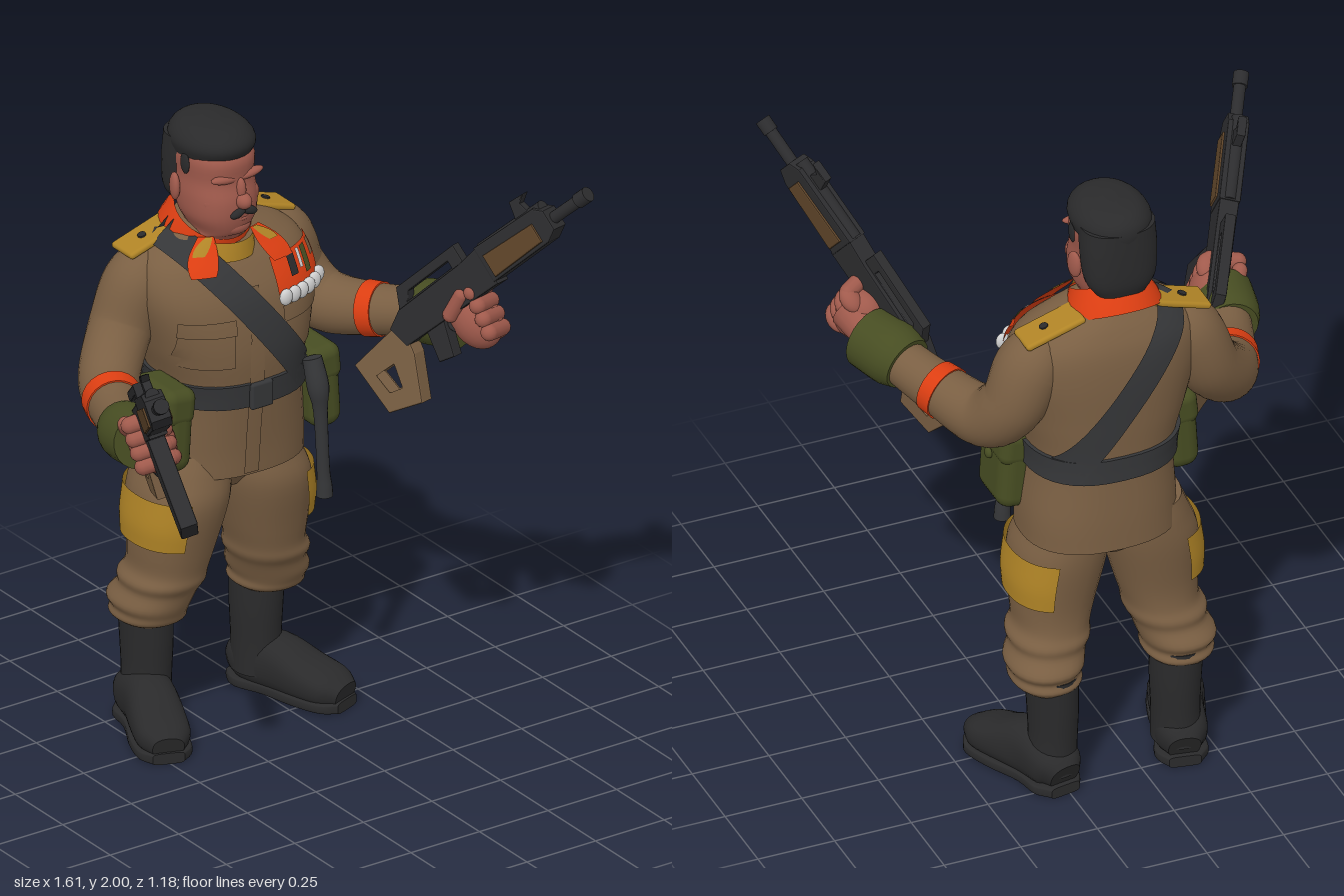
import * as THREE from 'three';
import { RoundedBoxGeometry } from 'three/addons/geometries/RoundedBoxGeometry.js';

const V = (x, y, z) => new THREE.Vector3(x, y, z);
const colours = {
  cloth: 0x7a5f43, skin: 0xa05a4c, black: 0x2a2a2b, strap: 0x353638, olive: 0x474d22,
  ochre: 0xb08426, red: 0xdc3e12, white: 0xcfcfcf, wood: 0x5e4429, gunmetal: 0x2c2c2e,
};
const M = {};

function add(parent, name, geo, mat, pos = [0, 0, 0], rot = [0, 0, 0], scale = [1, 1, 1]) {
  const m = new THREE.Mesh(geo, mat);
  m.name = name;
  m.position.set(...pos);
  m.rotation.set(...rot);
  m.scale.set(...scale);
  parent.add(m);
  return m;
}
const ball = (p, name, mat, pos, s, rot) => add(p, name, new THREE.SphereGeometry(1, 20, 14), mat, pos, rot, s);
const rbox = (w, h, d, r = 0.02) => new RoundedBoxGeometry(w, h, d, 3, r);

// Smoothly resample sections of the form [x, y, z, radiusU, radiusV]
function sample(secs, n) {
  const c = new THREE.CatmullRomCurve3(secs.map(s => V(s[0], s[1], s[2])), false, 'catmullrom');
  const r = new THREE.CatmullRomCurve3(secs.map(s => V(s[3], s[4] ?? s[3], 0)), false, 'catmullrom');
  return Array.from({ length: n + 1 }, (_, i) => {
    const p = c.getPoint(i / n), q = r.getPoint(i / n);
    return [p.x, p.y, p.z, q.x, q.y];
  });
}

// Skin a row of superellipse rings; flat keeps every ring horizontal
function loft(rows, { flat = false, e = 2, seg = 28, start = 0, arc = Math.PI * 2, caps = true } = {}) {
  const pos = [], idx = [], full = arc > 6.28, cols = full ? seg : seg + 1;
  const P = rows.map(r => V(r[0], r[1], r[2])), n = rows.length;
  P.forEach((p, i) => {
    const T = P[Math.min(i + 1, n - 1)].clone().sub(P[Math.max(i - 1, 0)]).normalize();
    if (flat) T.set(0, Math.sign(T.y), 0);
    const U = V(1, 0, 0).addScaledVector(T, -T.x).normalize(), W = T.clone().cross(U);
    for (let j = 0; j < cols; j++) {
      const a = start + arc * j / seg, c = Math.cos(a), s = Math.sin(a);
      const f = v => Math.sign(v) * Math.abs(v) ** (2 / e);
      const q = p.clone().addScaledVector(U, rows[i][3] * f(c)).addScaledVector(W, rows[i][4] * f(s));
      pos.push(q.x, q.y, q.z);
    }
  });
  for (let i = 0; i < n - 1; i++) for (let j = 0; j < seg; j++) {
    const k = (j + 1) % cols, a = i * cols + j, b = i * cols + k;
    idx.push(a, b, b + cols, a, b + cols, a + cols);
  }
  if (full && caps) for (const i of [0, n - 1]) {
    const base = pos.length / 3;
    pos.push(...P[i].toArray(), ...pos.slice(i * cols * 3, (i + 1) * cols * 3));
    for (let j = 0; j < seg; j++) {
      const a = base + 1 + j, b = base + 1 + (j + 1) % seg;
      if (i) idx.push(base, a, b); else idx.push(base, b, a);
    }
  }
  return toGeo(pos, idx);
}
function toGeo(pos, idx) {
  const g = new THREE.BufferGeometry();
  g.setAttribute('position', new THREE.Float32BufferAttribute(pos, 3));
  g.setIndex(idx);
  g.computeVertexNormals();
  return g;
}
// Grid sheet from a function of (s, t)
function sheet(fn, ns = 8, nt = 4) {
  const pos = [], idx = [];
  for (let i = 0; i <= ns; i++) for (let j = 0; j <= nt; j++) pos.push(...fn(i / ns, j / nt));
  for (let i = 0; i < ns; i++) for (let j = 0; j < nt; j++) {
    const a = i * (nt + 1) + j, b = a + nt + 1;
    idx.push(a, b, b + 1, a, b + 1, a + 1);
  }
  return toGeo(pos, idx);
}

// Jacket body and lookups on its surface
const TE = 2.4;
const torso = sample([[0.1, 0.87, -0.385, 0.245, 0.205], [0.1, 0.97, -0.38, 0.24, 0.207], [0.09, 1.15, -0.365, 0.228, 0.212],
  [0.08, 1.3, -0.36, 0.262, 0.22], [0.075, 1.45, -0.37, 0.295, 0.21], [0.073, 1.55, -0.388, 0.28, 0.18],
  [0.07, 1.615, -0.4, 0.215, 0.14], [0.06, 1.67, -0.4, 0.1, 0.1]], 56);
function torsoAt(y) {
  let i = 0;
  while (i < torso.length - 2 && torso[i + 1][1] < y) i++;
  const a = torso[i], b = torso[i + 1], k = THREE.MathUtils.clamp((y - a[1]) / (b[1] - a[1]), 0, 1);
  return a.map((v, j) => j === 1 ? y : v + (b[j] - v) * k);
}
function onTorso(x, y, side = 1, off = 0.014) {
  const [cx, , cz, rx, rz] = torsoAt(y);
  return [x, y, cz + side * (rz * Math.max(0, 1 - Math.abs((x - cx) / rx) ** TE) ** (1 / TE) + off)];
}
const patch = (x0, x1, y0, y1, off) => sheet((s, t) => onTorso(x0 + (x1 - x0) * s, y0 + (y1 - y0) * t, 1, off));

function makeRifle(muzzle, dir, roll, handPos, withMagazine) {
  const g = new THREE.Group();
  g.name = 'rifle';
  const Z = dir.normalize(), X = V(0, 1, 0).cross(Z).normalize(), Y = Z.clone().cross(X);
  g.quaternion.setFromRotationMatrix(new THREE.Matrix4().makeBasis(X, Y, Z));
  g.rotateZ(roll);
  g.position.copy(muzzle);
  const rod = (name, r, t0, t1, u = 0) => add(g, name, new THREE.CylinderGeometry(r, r, t1 - t0, 16), M.gunmetal, [0, u, -(t0 + t1) / 2], [Math.PI / 2, 0, 0]);
  // side outline given as (distance behind muzzle, height)
  const plate = (name, pts, w, mat, hole, x = 0) => {
    const v = p => p.map(([t, u]) => new THREE.Vector2(-t, u));
    const s = new THREE.Shape(v(pts));
    if (hole) s.holes.push(new THREE.Path(v(hole)));
    const geo = new THREE.ExtrudeGeometry(s, { depth: w, bevelEnabled: true, bevelSize: 0.005, bevelThickness: 0.005, bevelSegments: 2 });
    add(g, name, geo.translate(0, 0, -w / 2).rotateY(-Math.PI / 2), mat, [x, 0, 0]);
  };
  rod('barrel', 0.019, 0, 0.2);
  rod('muzzleBrake', 0.024, 0, 0.045);
  rod('gasTube', 0.022, 0.17, 0.45, 0.045);
  plate('handguard', [[0.16, 0.03], [0.19, 0.052], [0.45, 0.055], [0.45, -0.055], [0.2, -0.05], [0.16, -0.03]], 0.056, M.gunmetal);
  plate('receiver', [[0.43, 0.055], [0.54, 0.04], [0.82, 0.03], [0.88, 0], [0.86, -0.065], [0.45, -0.065]], 0.05, M.gunmetal);
  plate('frontSight', [[0.22, 0.05], [0.235, 0.095], [0.205, 0.11], [0.26, 0.11], [0.275, 0.05]], 0.018, M.gunmetal);
  plate('carryHandle', [[0.53, 0.035], [0.53, 0.1], [0.79, 0.092], [0.83, 0.02]], 0.025, M.gunmetal, [[0.57, 0.045], [0.57, 0.078], [0.76, 0.072], [0.785, 0.04]]);
  plate('stock', [[0.84, 0.0], [0.86, -0.1], [0.93, -0.23], [1.05, -0.2], [1.066, -0.03]], 0.045, M.cloth, [[0.94, -0.09], [0.96, -0.165], [1.01, -0.155], [1.02, -0.09]]);
  plate('pistolGrip', [[0.7, -0.06], [0.74, -0.17], [0.79, -0.16], [0.77, -0.06]], 0.035, M.gunmetal);
  for (const s of [-1, 1]) plate('woodPanel', [[0.22, 0.015], [0.43, 0.02], [0.43, -0.045], [0.22, -0.038]], 0.004, M.wood, null, s * 0.033);
  add(g, 'triggerGuard', new THREE.TorusGeometry(0.035, 0.007, 8, 18), M.gunmetal, [0, -0.085, -0.67], [0, Math.PI / 2, 0]);
  if (withMagazine) plate('magazine', [[0.56, -0.05], [0.49, -0.35], [0.57, -0.375], [0.66, -0.05]], 0.045, M.gunmetal);
  // hand wrapped round the underside
  const h = new THREE.Group();
  h.name = 'hand';
  h.position.set(...handPos);
  g.add(h);
  ball(h, 'palm', M.skin, [0.01, -0.11, -0.63], [0.07, 0.1, 0.08]);
  for (let i = 0; i < 4; i++) {
    add(h, 'finger', new THREE.CapsuleGeometry(0.027, 0.085, 6, 12), M.skin, [-0.005, -0.045 - i * 0.043, -0.555 - i * 0.008], [0, 0.15, Math.PI / 2]);
    ball(h, 'knuckle', M.skin, [0.045, -0.045 - i * 0.043, -0.585 - i * 0.008], [0.032, 0.027, 0.045]);
  }
  add(h, 'thumb', new THREE.CapsuleGeometry(0.024, 0.08, 6, 12), M.skin, [-0.055, -0.05, -0.62], [1.2, 0, 0]);
  return g;
}

function makeArm(side, secs, [z0, z1], cuffRows, wristRows) {
  const g = new THREE.Group(), rows = sample(secs, 90);
  g.name = side + 'Arm';
  add(g, 'sleeve', loft(rows, { seg: 24 }), M.cloth);
  const band = rows.filter(r => r[2] > z0 && r[2] < z1 && r[0] * secs[5][0] > 0);
  add(g, 'armBand', loft(band.map(([x, y, z, a, b]) => [x, y, z, a + 0.005, b + 0.005]), { seg: 24 }), M.red);
  add(g, 'cuff', loft(sample(cuffRows, 8), { seg: 24 }), M.olive);
  add(g, 'wrist', loft(sample(wristRows, 6), { seg: 16 }), M.skin);
  return g;
}

function makeLeg(s) {
  const g = new THREE.Group(), mx = r => [0.07 + s * (r[0] - 0.07), ...r.slice(1)];
  g.name = s > 0 ? 'leftLeg' : 'rightLeg';
  const part = (name, secs, n, mat, o) => add(g, name, loft(sample(secs.map(mx), n), o), mat);
  part('trouser', [[0.19, 0.94, -0.385, 0.11, 0.15], [0.2, 0.87, -0.375, 0.13, 0.165], [0.218, 0.78, -0.365, 0.145, 0.17], [0.237, 0.63, -0.37, 0.127, 0.143],
    [0.247, 0.55, -0.38, 0.115, 0.135], [0.26, 0.51, -0.39, 0.124, 0.142], [0.267, 0.475, -0.4, 0.113, 0.132],
    [0.285, 0.43, -0.42, 0.117, 0.14], [0.285, 0.4, -0.42, 0.106, 0.127], [0.285, 0.375, -0.43, 0.108, 0.125], [0.285, 0.355, -0.44, 0.085, 0.1]], 44, M.cloth, { flat: true, e: 2.2 });
  part('thighPatch', [[0.216, 0.81, -0.365, 0.154, 0.178], [0.229, 0.72, -0.367, 0.154, 0.173], [0.237, 0.65, -0.37, 0.144, 0.163]], 8, M.ochre,
    { flat: true, e: 2.2, start: (s > 0 ? 0 : Math.PI) - 1.2, arc: 2.4 });
  part('bootShaft', [[0.275, 0.4, -0.455, 0.08, 0.095], [0.27, 0.28, -0.455, 0.077, 0.092], [0.27, 0.16, -0.455, 0.073, 0.086], [0.275, 0.06, -0.455, 0.078, 0.088]], 12, M.black, { flat: true });
  part('bootFoot', [[0.265, 0.065, -0.54, 0.05, 0.05], [0.275, 0.085, -0.49, 0.08, 0.075], [0.305, 0.095, -0.39, 0.08, 0.09],
    [0.345, 0.075, -0.285, 0.086, 0.068], [0.375, 0.062, -0.21, 0.082, 0.054], [0.393, 0.05, -0.16, 0.05, 0.036]], 20, M.black, { e: 2.4 });
  part('bootSole', [[0.265, 0.018, -0.545, 0.05, 0.018], [0.276, 0.018, -0.49, 0.082, 0.018], [0.305, 0.018, -0.4, 0.074, 0.018],
    [0.345, 0.018, -0.29, 0.088, 0.018], [0.378, 0.018, -0.2, 0.085, 0.018], [0.395, 0.018, -0.155, 0.05, 0.018]], 20, M.black, { e: 5 });
  return g;
}

function makeHead() {
  const g = new THREE.Group(), x = 0.047;
  g.name = 'head';
  add(g, 'face', loft(sample([[x, 1.56, -0.4, 0.1, 0.1], [x, 1.635, -0.37, 0.095, 0.11], [x, 1.66, -0.34, 0.085, 0.108], [x, 1.71, -0.34, 0.108, 0.125],
    [x, 1.77, -0.35, 0.114, 0.137], [x, 1.83, -0.36, 0.11, 0.134], [x, 1.9, -0.365, 0.112, 0.14], [x, 1.95, -0.37, 0.08, 0.1]], 32), { flat: true, e: 2.3 }), M.skin);
  add(g, 'crownHair', loft(sample([[x, 1.9, -0.375, 0.114, 0.14], [x, 1.935, -0.367, 0.122, 0.15], [x, 1.965, -0.367, 0.11, 0.14],
    [x, 1.99, -0.37, 0.078, 0.105], [x, 2.0, -0.37, 0.02, 0.04]], 16), { flat: true, e: 2.1 }), M.black);
  add(g, 'backHair', loft(sample([[x, 1.71, -0.45, 0.08, 0.05], [x, 1.76, -0.445, 0.11, 0.07], [x, 1.85, -0.435, 0.119, 0.082], [x, 1.94, -0.42, 0.116, 0.095]], 12), { flat: true, e: 2.4 }), M.black);
  ball(g, 'nose', M.skin, [0.057, 1.772, -0.215], [0.025, 0.026, 0.032]);
  ball(g, 'noseBridge', M.skin, [0.055, 1.805, -0.226], [0.016, 0.04, 0.02]);
  ball(g, 'chin', M.skin, [0.055, 1.678, -0.25], [0.05, 0.028, 0.03]);
  ball(g, 'lowerLip', M.skin, [0.057, 1.712, -0.225], [0.026, 0.009, 0.012]);
  for (const s of [-1, 1]) {
    ball(g, 'ear', M.skin, [x + s * 0.122, 1.79, -0.385], [0.015, 0.045, 0.028], [0, s * 0.3, 0]);
    ball(g, 'browRidge', M.skin, [0.052 + s * 0.045, 1.845, -0.24], [0.05, 0.014, 0.017], [0, 0, s * 0.12]);
    ball(g, 'cheek', M.skin, [0.05 + s * 0.06, 1.765, -0.255], [0.045, 0.035, 0.02], [0, s * 0.5, 0]);
    ball(g, 'moustache', M.black, [0.058 + s * 0.021, 1.737, -0.213], [0.028, 0.014, 0.014], [0, 0, -s * 0.35]);
    ball(g, 'sideburn', M.black, [x + s * 0.112, 1.88, -0.345], [0.008, 0.035, 0.022]);
  }
  return g;
}

export function createModel() {
  for (const [k, c] of Object.entries(colours)) {
    M[k] = new THREE.MeshStandardMaterial({ color: c, side: THREE.DoubleSide });
    M[k].name = k;
  }
  const root = new THREE.Group();
  root.name = 'soldier';

  // Jacket
  add(root, 'jacket', loft(torso, { flat: true, e: TE, seg: 40 }), M.cloth);
  add(root, 'placket', patch(0.035, 0.085, 0.88, 1.5, 0.006), M.cloth);
  for (const x of [-0.17, 0.16]) {
    add(root, 'chestPocket', patch(x, x + 0.15, 1.26, 1.41, 0.007), M.cloth);
    add(root, 'pocketFlap', patch(x - 0.005, x + 0.155, 1.37, 1.42, 0.013), M.cloth);
  }
  // Belts
  const belt = [1.115, 1.14, 1.16, 1.195].map(y => { const r = torsoAt(y); r[3] += 0.012; r[4] += 0.012; return r; });
  add(root, 'waistBelt', loft(belt, { flat: true, e: TE, seg: 40 }), M.strap);
  add(root, 'buckle', rbox(0.08, 0.085, 0.02, 0.008), M.strap, [0.07, 1.153, -0.138]);
  for (const side of [1, -1]) add(root, 'crossBelt', sheet((s, t) => {
    const y = 1.65 - 0.5 * s, w = (t - 0.5) * 0.1;
    return onTorso(-0.08 + (1.6 - y) / 1.3 + w * 0.79, y + w * 0.61, side, 0.014);
  }, 30, 4), M.strap);
  // Collar, lapels and shoulder boards
  add(root, 'collar', loft([[0.05, 1.61, -0.405, 0.155, 0.142], [0.05, 1.65, -0.385, 0.142, 0.136], [0.05, 1.69, -0.365, 0.118, 0.125]], { seg: 32, caps: false }), M.red);
  add(root, 'shirtCollar', loft([[0.05, 1.575, -0.355, 0.12, 0.14], [0.05, 1.635, -0.345, 0.1, 0.125]], { flat: true, caps: false }), M.ochre);
  for (const s of [-1, 1]) {
    const lapel = (name, o, k, mat) => add(root, name, sheet((a, b) => {
      const y = 1.65 - 0.095 * a * k, w = 0.04 + 0.05 * Math.sin(a * 2.4);
      return onTorso(0.05 + s * (0.075 + 0.05 * a + w * (b - 0.3) * k), y, 1, o);
    }, 8, 4), mat);
    lapel('lapel', 0.028, 1, M.red);
    lapel('lapelTab', 0.033, 0.45, M.ochre);
    const x = 0.065 + s * 0.205;
    add(root, 'shoulderBoard', rbox(0.2, 0.022, 0.11, 0.01), M.ochre, [x, 1.623, -0.435], [0, 0, -s * 0.3]);
    add(root, 'boardStud', new THREE.CylinderGeometry(0.014, 0.014, 0.01, 8), M.black, [x + s * 0.02, 1.628, -0.435], [0, 0, -s * 0.3]);
  }
  // Medals
  add(root, 'ribbonBar', patch(0.14, 0.335, 1.46, 1.565, 0.022), M.red);
  [[0.2, 0.03, 1.5, 'black'], [0.243, 0.014, 1.51, 'white'], [0.265, 0.024, 1.49, 'olive'], [0.305, 0.02, 1.52, 'cloth']].forEach(([x, w, y, c]) =>
    add(root, 'ribbonStripe', patch(x, x + w, y, 1.56, 0.027), M[c]));
  for (let i = 0; i < 6; i++) {
    ball(root, 'medal', M.white, onTorso(0.16 + i * 0.034, 1.452, 1, 0.028), [0.022, 0.027, 0.014]);
  }
  // Hip pouches
  for (const [x, s] of [[0.345, 1], [-0.195, -1]]) {
    const g = new THREE.Group();
    g.name = 'hipPouch';
    g.position.set(x, 1.07, -0.275);
    add(g, 'pouchBody', rbox(0.11, 0.24, 0.2, 0.045), M.olive, [0, -0.01, 0], [0, 0, s * 0.06]);
    add(g, 'pouchFlap', rbox(0.115, 0.12, 0.205, 0.035), M.olive, [-s * 0.005, 0.085, 0], [0, 0, s * 0.1]);
    ball(g, 'pouchStud', M.olive, [s * 0.057, 0.035, 0], [0.012, 0.018, 0.018]);
    root.add(g);
  }
  // Baton hanging from the belt
  add(root, 'baton', loft(sample([[0.27, 1.21, -0.16, 0.03], [0.275, 1.12, -0.135, 0.034], [0.28, 1.04, -0.13, 0.022], [0.29, 0.85, -0.13, 0.02], [0.294, 0.79, -0.13, 0.024], [0.295, 0.755, -0.13, 0.026]], 20), { seg: 14 }), M.strap);

  root.add(makeHead(), makeLeg(1), makeLeg(-1));
  add(root, 'seat', loft(sample([[0.07, 0.96, -0.385, 0.19, 0.16], [0.07, 0.86, -0.385, 0.17, 0.15], [0.07, 0.79, -0.385, 0.08, 0.1]], 8), { flat: true }), M.cloth);

  // Arms and rifles
  root.add(makeArm('left',
    [[0.24, 1.545, -0.42, 0.07], [0.325, 1.5, -0.425, 0.105], [0.385, 1.37, -0.42, 0.1], [0.44, 1.285, -0.335, 0.095], [0.515, 1.3, -0.17, 0.08], [0.585, 1.335, -0.02, 0.072]],
    [-0.2, -0.145],
    [[0.57, 1.33, -0.05, 0.085], [0.59, 1.34, 0, 0.1], [0.63, 1.35, 0.1, 0.098]],
    [[0.6, 1.34, 0.04, 0.06], [0.63, 1.37, 0.12, 0.06], [0.645, 1.4, 0.19, 0.07]]));
  root.add(makeArm('right',
    [[-0.1, 1.545, -0.42, 0.07], [-0.18, 1.49, -0.425, 0.103], [-0.25, 1.35, -0.42, 0.098], [-0.35, 1.24, -0.335, 0.093], [-0.42, 1.215, -0.19, 0.08], [-0.48, 1.225, -0.03, 0.07]],
    [-0.275, -0.215],
    [[-0.472, 1.22, -0.09, 0.08], [-0.485, 1.225, -0.04, 0.092], [-0.505, 1.24, 0.06, 0.09]],
    [[-0.49, 1.235, 0.02, 0.058], [-0.49, 1.24, 0.07, 0.058], [-0.485, 1.25, 0.12, 0.062]]));
  root.add(makeRifle(V(0.785, 1.9, 0.55), V(0.52, 1.03, 1), -0.15, [0.035, 0, -0.01], false));
  root.add(makeRifle(V(-0.785, 1.64, 0.57), V(-0.58, 0.65, 1), 0.3, [-0.01, 0.04, -0.07], true));
  return root;
}
